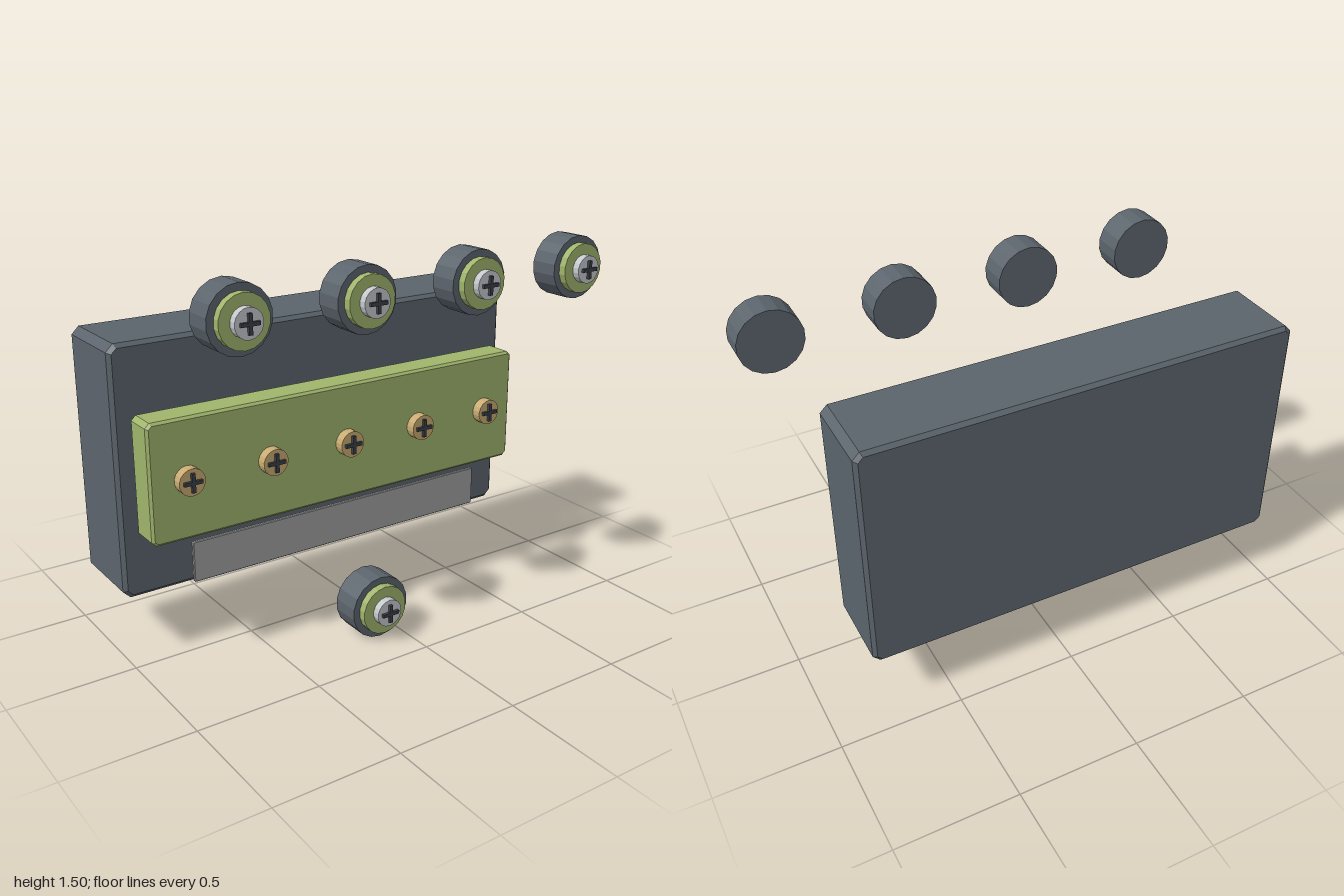
import * as THREE from 'three';

const paint = (color, flat = true) => new THREE.MeshStandardMaterial({ color, flatShading: flat });
const slate = paint(0x5b646c);
const green = paint(0xa0b46c);
const steel = paint(0xc4c8cc);
const brass = paint(0xc8ab72);
const labelGrey = paint(0xa0a0a0);
const slotDark = paint(0x3a4046);

// Box with cut corners and a single-step bevel on front and back
function chamferBox(name, [x0, x1], [y0, y1], [z0, z1], cut, bevel, material) {
  const w = (x1 - x0) / 2 - bevel;
  const h = (y1 - y0) / 2 - bevel;
  const outline = [
    [w, -h + cut], [w, h - cut], [w - cut, h], [-w + cut, h],
    [-w, h - cut], [-w, -h + cut], [-w + cut, -h], [w - cut, -h],
  ].map(([x, y]) => new THREE.Vector2(x, y));
  const geometry = new THREE.ExtrudeGeometry(new THREE.Shape(outline), {
    depth: z1 - z0 - 2 * bevel,
    bevelEnabled: true, bevelSegments: 1, bevelSize: bevel, bevelThickness: bevel,
  });
  geometry.translate((x0 + x1) / 2, (y0 + y1) / 2, z0 + bevel);
  const mesh = new THREE.Mesh(geometry, material);
  mesh.name = name;
  return mesh;
}

// Disc whose axis runs along z
function disc(name, radius, z0, z1, material, sides = 18) {
  const geometry = new THREE.CylinderGeometry(radius, radius, z1 - z0, sides);
  geometry.rotateX(Math.PI / 2);
  geometry.translate(0, 0, (z0 + z1) / 2);
  const mesh = new THREE.Mesh(geometry, material);
  mesh.name = name;
  return mesh;
}

// Screw head with a raised dark cross
function screw(name, radius, z0, z1, material) {
  const group = new THREE.Group();
  group.name = name;
  group.add(disc('screwHead', radius, z0, z1, material));
  for (const [w, h] of [[0.074, 0.014], [0.014, 0.074]]) {
    const bar = new THREE.Mesh(new THREE.BoxGeometry(w, h, 0.02), slotDark);
    bar.position.z = z1 + 0.002;
    bar.name = 'crossSlot';
    group.add(bar);
  }
  return group;
}

// Round cable terminal: housing, coloured ring and screw
function terminal(x, y) {
  const group = new THREE.Group();
  group.name = 'terminal';
  group.add(
    disc('terminalHousing', 0.128, 0.205, 0.325, slate),
    disc('terminalRing', 0.1, 0.32, 0.357, green),
    screw('terminalScrew', 0.056, 0.352, 0.388, steel),
  );
  group.position.set(x, y, 0);
  return group;
}

export function createModel() {
  const model = new THREE.Group();
  model.name = 'terminalBlock';

  // Main housing, green rail and label plate
  model.add(
    chamferBox('housing', [-1, 0.806], [0.258, 1.246], [-0.4, -0.06], 0.02, 0.015, slate),
    chamferBox('rail', [-0.942, 0.748], [0.517, 0.988], [-0.036, 0.094], 0.012, 0.01, green),
    chamferBox('labelPlate', [-0.77, 0.577], [0.322, 0.486], [0.052, 0.068], 0.002, 0.003, labelGrey),
  );

  // Five brass screws along the rail
  for (let i = 0; i < 5; i++) {
    const railScrew = screw('railScrew', 0.053, 0.09, 0.135, brass);
    railScrew.position.set(-0.792 + i * 0.3475, 0.753, 0);
    model.add(railScrew);
  }

  // Four terminals above and one below
  for (let i = 0; i < 4; i++) model.add(terminal(-0.683 + i * 0.518, 1.372));
  model.add(terminal(-0.097, 0.128));

  return model;
}
